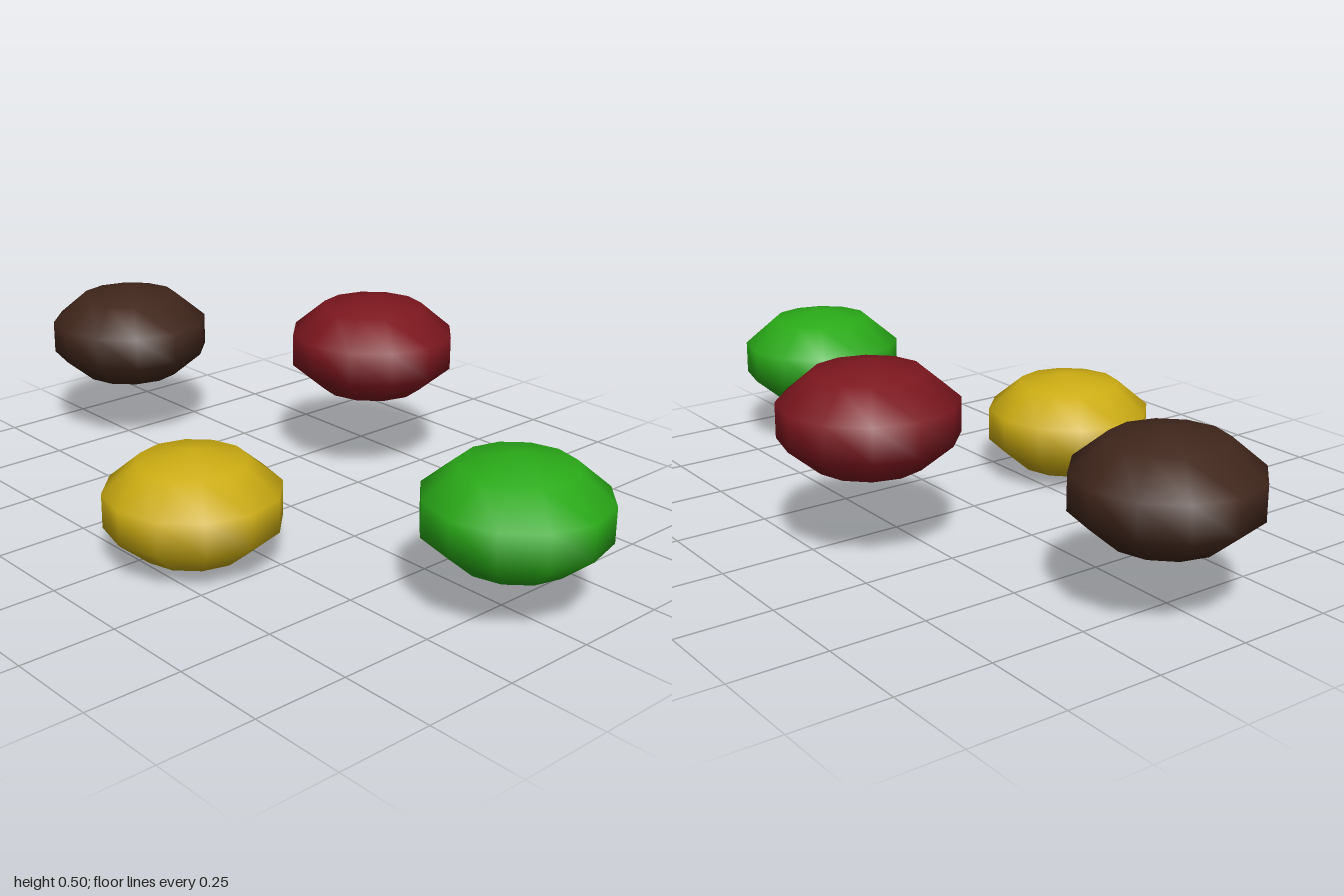
import * as THREE from 'three';

// Four flattened low-poly pebbles with smooth normals
const PEBBLES = [
  { name: 'brownPebble', color: 0x40261b, position: [-0.775, 0.299, -0.037] },
  { name: 'redPebble', color: 0x7c161e, position: [-0.093, 0.351, -0.384] },
  { name: 'yellowPebble', color: 0xccac12, position: [0.075, 0.145, 0.384] },
  { name: 'greenPebble', color: 0x2aaa18, position: [0.775, 0.246, -0.004] },
];

export function createModel() {
  const group = new THREE.Group();
  group.name = 'pebbles';

  // Shared squashed sphere: 12 sides, 5 bands
  const geometry = new THREE.SphereGeometry(1, 12, 5);
  geometry.scale(0.237, 0.145, 0.237);

  for (const { name, color, position } of PEBBLES) {
    const mesh = new THREE.Mesh(geometry, new THREE.MeshStandardMaterial({ color }));
    mesh.name = name;
    mesh.position.set(...position);
    group.add(mesh);
  }
  return group;
}
